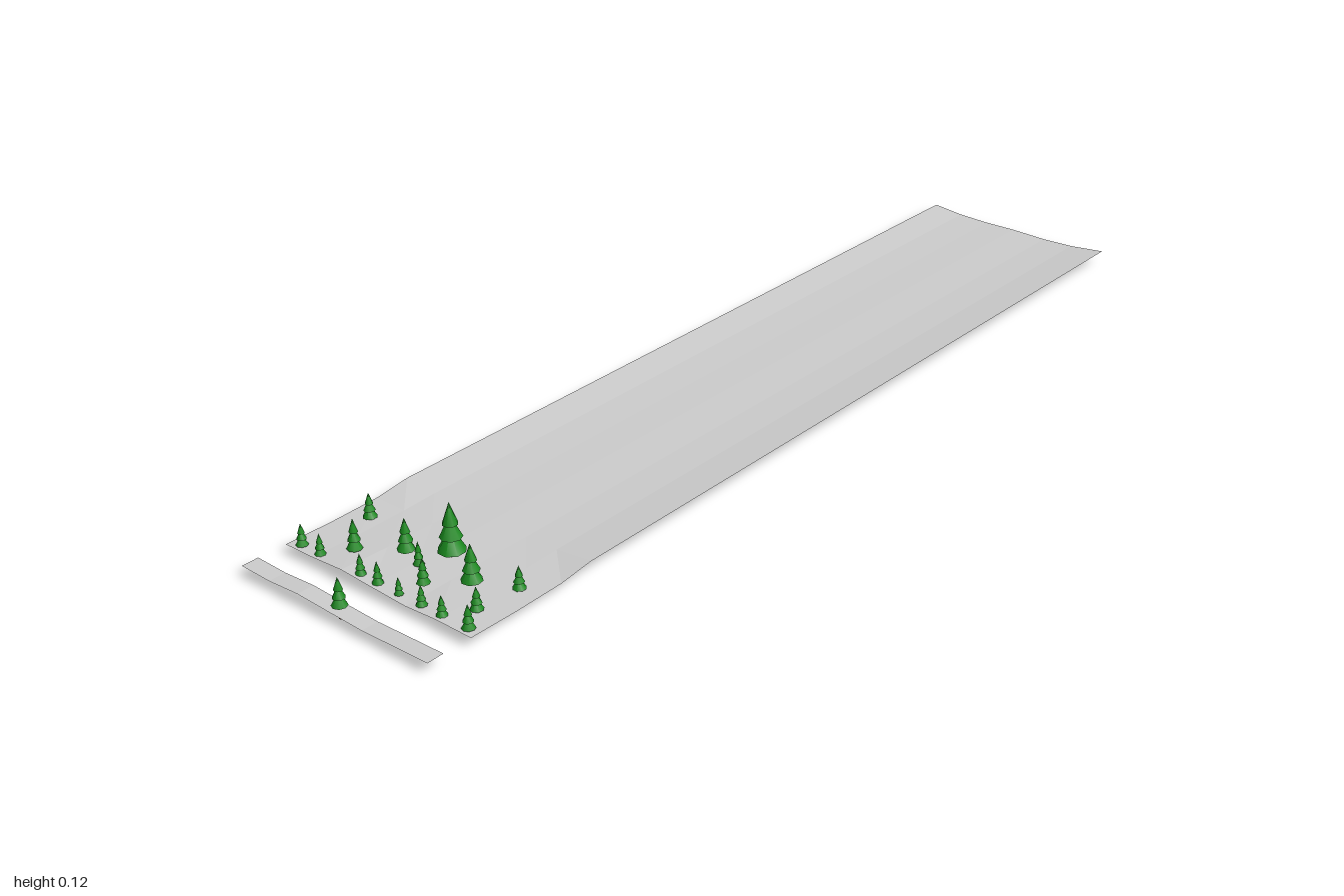
import * as THREE from 'three';

const groundMat = new THREE.MeshStandardMaterial({ color: 0xcccccc, flatShading: true, side: THREE.DoubleSide });
const leafMat = new THREE.MeshStandardMaterial({ color: 0x1a8a1e });
const barkMat = new THREE.MeshStandardMaterial({ color: 0x6b4226 });

// Open surface lofted through cross-sections: rows of heights at each x
function sheet(name, zs, rows) {
  const pos = [], index = [], n = zs.length;
  rows.forEach(([x, ys], r) => zs.forEach((z, i) => {
    pos.push(x, ys[i], z);
    if (r && i) {
      const d = r * n + i, c = d - 1, b = d - n, a = b - 1;
      index.push(a, c, b, b, c, d);
    }
  }));
  const g = new THREE.BufferGeometry();
  g.setAttribute('position', new THREE.Float32BufferAttribute(pos, 3));
  g.setIndex(index.map((_, k) => index[k - (k % 3) + [0, 1, 2][k % 3]]));
  g.computeVertexNormals();
  // Keep the upper side facing up
  if (g.attributes.normal.getY(0) < 0) {
    index.reverse();
    g.setIndex(index);
    g.computeVertexNormals();
  }
  const mesh = new THREE.Mesh(g, groundMat);
  mesh.name = name;
  return mesh;
}

// Conifer: short trunk and three stacked cones; base is the trunk foot
function tree(x, z, base, top, radius, leafBase) {
  const g = new THREE.Group();
  g.name = 'tree';
  const h = top - leafBase;
  const trunkH = leafBase - base + h * 0.2;
  const trunk = new THREE.Mesh(new THREE.CylinderGeometry(radius * 0.14, radius * 0.2, trunkH, 6), barkMat);
  trunk.name = 'trunk';
  trunk.position.y = base + trunkH / 2;
  g.add(trunk);
  [[0, 0.5, 1], [0.28, 0.45, 0.8], [0.55, 0.45, 0.56]].forEach(([y, ch, r], i) => {
    const cone = new THREE.Mesh(new THREE.ConeGeometry(radius * r, h * ch, 8), leafMat);
    cone.name = 'foliage';
    cone.rotation.y = i * 0.4 + z * 20;
    cone.position.y = leafBase + h * (y + ch / 2);
    g.add(cone);
  });
  g.position.set(x, 0, z);
  return g;
}

export function createModel() {
  const model = new THREE.Group();
  model.name = 'woodedTrack';

  // Long shallow channel with a flatter wooded end
  const zs = [-0.217, -0.15, -0.08, -0.01, 0.07, 0.14, 0.217];
  const channel = [0.025, 0.018, 0.016, 0.017, 0.015, 0.017, 0.025];
  const wooded = [0.016, 0.016, 0.018, 0.017, 0.015, 0.016, 0.016];
  model.add(sheet('ground', zs, [
    [-0.91, [0.018, 0.019, 0.023, 0.019, 0.015, 0.019, 0.018]],
    [-0.81, wooded],
    [-0.71, [0.017, 0.016, 0.017, 0.017, 0.015, 0.016, 0.017]],
    [-0.64, channel],
    [1, channel],
  ]));

  // Detached narrow strip
  const strip = [0.02, 0.018, 0.022, 0.019, 0.016, 0.018, 0.02];
  model.add(sheet('endStrip', zs, [[-1, strip], [-0.967, strip]]));

  // Trees: x, z, top height, foliage radius
  const trees = [
    [-0.895, -0.193, 0.060, 0.011], [-0.895, -0.148, 0.058, 0.010],
    [-0.85, -0.115, 0.078, 0.014], [-0.895, -0.05, 0.058, 0.010],
    [-0.80, -0.046, 0.082, 0.016], [-0.765, -0.173, 0.067, 0.013],
    [-0.895, -0.009, 0.060, 0.010], [-0.815, 0.0, 0.062, 0.010],
    [-0.76, 0.02, 0.118, 0.025], [-0.895, 0.04, 0.050, 0.008],
    [-0.85, 0.048, 0.066, 0.012], [-0.80, 0.107, 0.092, 0.019],
    [-0.895, 0.092, 0.056, 0.010], [-0.895, 0.138, 0.056, 0.010],
    [-0.85, 0.169, 0.062, 0.012], [-0.765, 0.178, 0.062, 0.012],
    [-0.895, 0.197, 0.064, 0.012],
  ];
  for (const [x, z, top, r] of trees) model.add(tree(x, z, 0.012, top, r, 0.014 + r * 0.55));
  // Tree on the strip, its trunk reaching below
  model.add(tree(-0.982, 0, 0, 0.077, 0.014, 0.025));
  return model;
}
